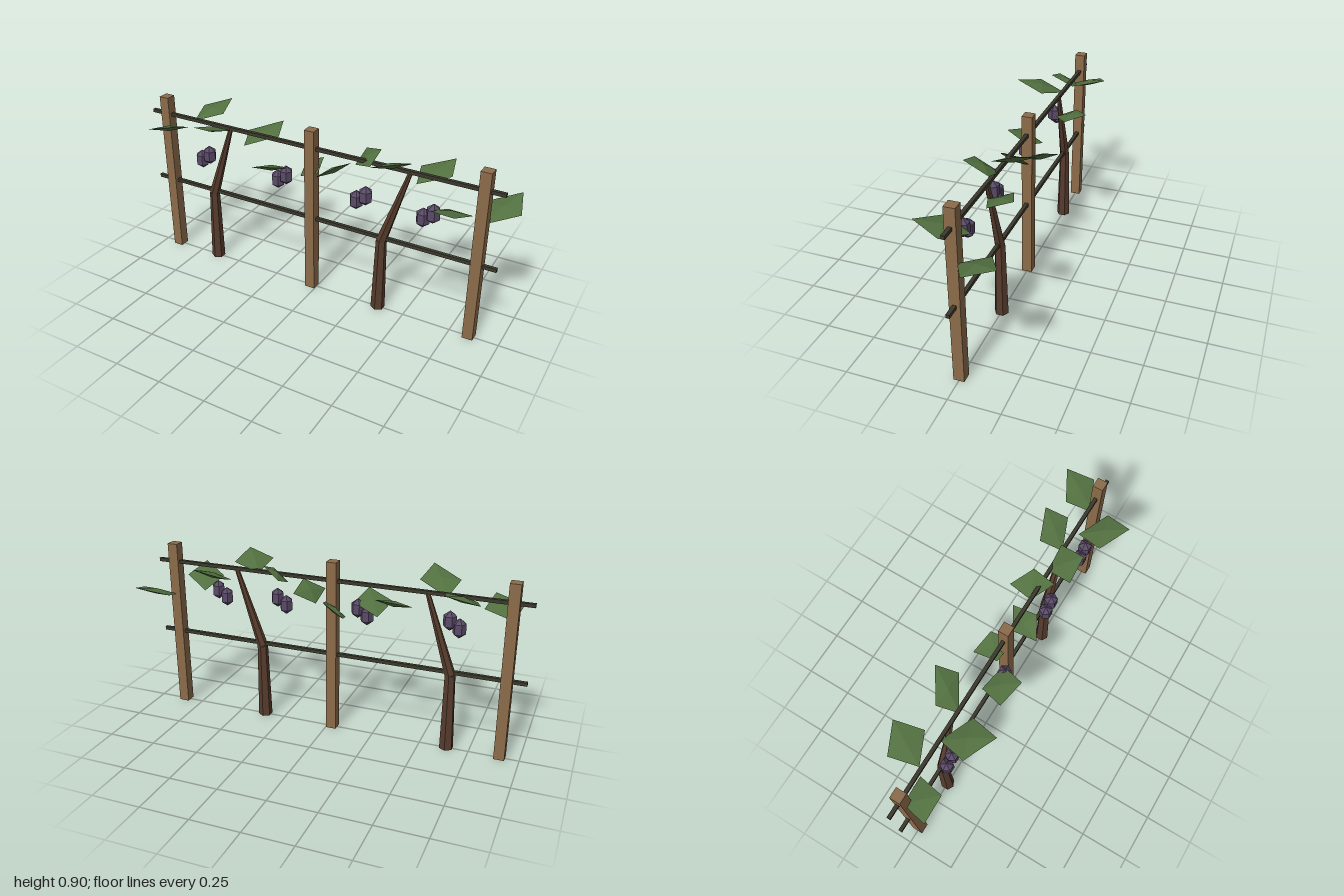
import * as THREE from 'three';

const mat = (name, color) => {
  const m = new THREE.MeshStandardMaterial({ color, flatShading: true });
  m.name = name;
  return m;
};

export function createModel() {
  const root = new THREE.Group();
  root.name = 'grapeTrellis';
  const postWood = mat('postWood', 0x8b6b4a);
  const bark = mat('bark', 0x573c2d);
  const wireMetal = mat('wire', 0x3b392c);
  const leafGreen = mat('leafGreen', 0x527040);
  const grapePurple = mat('grapePurple', 0x5a4a68);

  const add = (parent, name, geometry, material, x = 0, y = 0, z = 0) => {
    const mesh = new THREE.Mesh(geometry, material);
    mesh.name = name;
    mesh.position.set(x, y, z);
    parent.add(mesh);
    return mesh;
  };

  // Square posts
  for (const x of [-0.905, -0.029, 0.851]) {
    add(root, 'post', new THREE.BoxGeometry(0.053, 0.902, 0.053), postWood, x, 0.451, 0);
  }

  // Horizontal wires
  for (const y of [0.415, 0.804]) {
    add(root, 'wire', new THREE.BoxGeometry(1.945, 0.018, 0.018), wireMetal, -0.0275, y, 0);
  }

  // Vine trunks: an upright stem and a leaning, tapering arm
  const stem = (parent, name, from, to, r0, r1) => {
    const dir = to.clone().sub(from);
    const mesh = add(parent, name, new THREE.CylinderGeometry(r1, r0, dir.length(), 6), bark);
    mesh.position.copy(from).add(to).multiplyScalar(0.5);
    mesh.quaternion.setFromUnitVectors(new THREE.Vector3(0, 1, 0), dir.normalize());
  };
  for (const x of [-0.638, 0.359]) {
    const vine = new THREE.Group();
    vine.name = 'vine';
    root.add(vine);
    const knee = new THREE.Vector3(x + 0.004, 0.4, 0);
    stem(vine, 'trunk', new THREE.Vector3(x, 0, 0), knee, 0.036, 0.027);
    stem(vine, 'arm', knee, new THREE.Vector3(x + 0.136, 0.805, 0), 0.027, 0.011);
  }

  // Pairs of faceted grapes
  const grape = new THREE.SphereGeometry(0.0425, 6, 3).scale(0.9, 1.21, 0.9);
  for (const x of [-0.652, -0.188, 0.249, 0.591]) {
    const cluster = new THREE.Group();
    cluster.name = 'grapeCluster';
    root.add(cluster);
    add(cluster, 'grape', grape, grapePurple, x, 0.622, 0.058);
    add(cluster, 'grape', grape, grapePurple, x + 0.048, 0.655, 0.058);
  }

  // Leaves: flattened octahedra given by centre and two half diagonals
  const leaves = [
    [[-0.854, 0.755, 0.07], [0.083, 0, -0.064], [0.056, 0.041, 0.069]],
    [[-0.69, 0.83, -0.112], [0.091, 0.008, 0.04], [0.053, 0.04, -0.099]],
    [[-0.536, 0.835, 0.111], [0.093, 0, -0.032], [0.061, 0.045, 0.112]],
    [[-0.373, 0.765, -0.107], [0.093, 0.004, 0.005], [0.059, 0.045, -0.099]],
    [[-0.21, 0.689, 0.084], [0.087, 0, -0.045], [0.048, 0.046, 0.08]],
    [[-0.056, 0.673, -0.053], [0.072, 0.01, 0.072], [0.043, 0.045, -0.043]],
    [[0.104, 0.726, 0.022], [0.048, 0.01, -0.093], [0.048, 0.048, 0.037]],
    [[0.262, 0.811, -0.032], [0.053, 0, 0.091], [0.056, 0.043, -0.024]],
    [[0.422, 0.842, 0.056], [0.077, 0, -0.067], [0.053, 0.045, 0.064]],
    [[0.582, 0.788, -0.096], [0.088, 0.005, 0.028], [0.061, 0.044, -0.085]],
    [[0.738, 0.708, 0.106], [0.093, 0, -0.027], [0.053, 0.045, 0.11]],
    [[0.906, 0.67, -0.121], [0.093, 0.003, 0.03], [0.053, 0.045, -0.11]],
  ];
  for (const [c, a, b] of leaves) {
    const u = new THREE.Vector3(...a), v = new THREE.Vector3(...b);
    const n = v.clone().cross(u).setLength(0.014);
    const geo = new THREE.OctahedronGeometry(1);
    geo.applyMatrix4(new THREE.Matrix4().makeBasis(u, n, v));
    geo.computeVertexNormals();
    add(root, 'leaf', geo, leafGreen, ...c);
  }

  return root;
}
